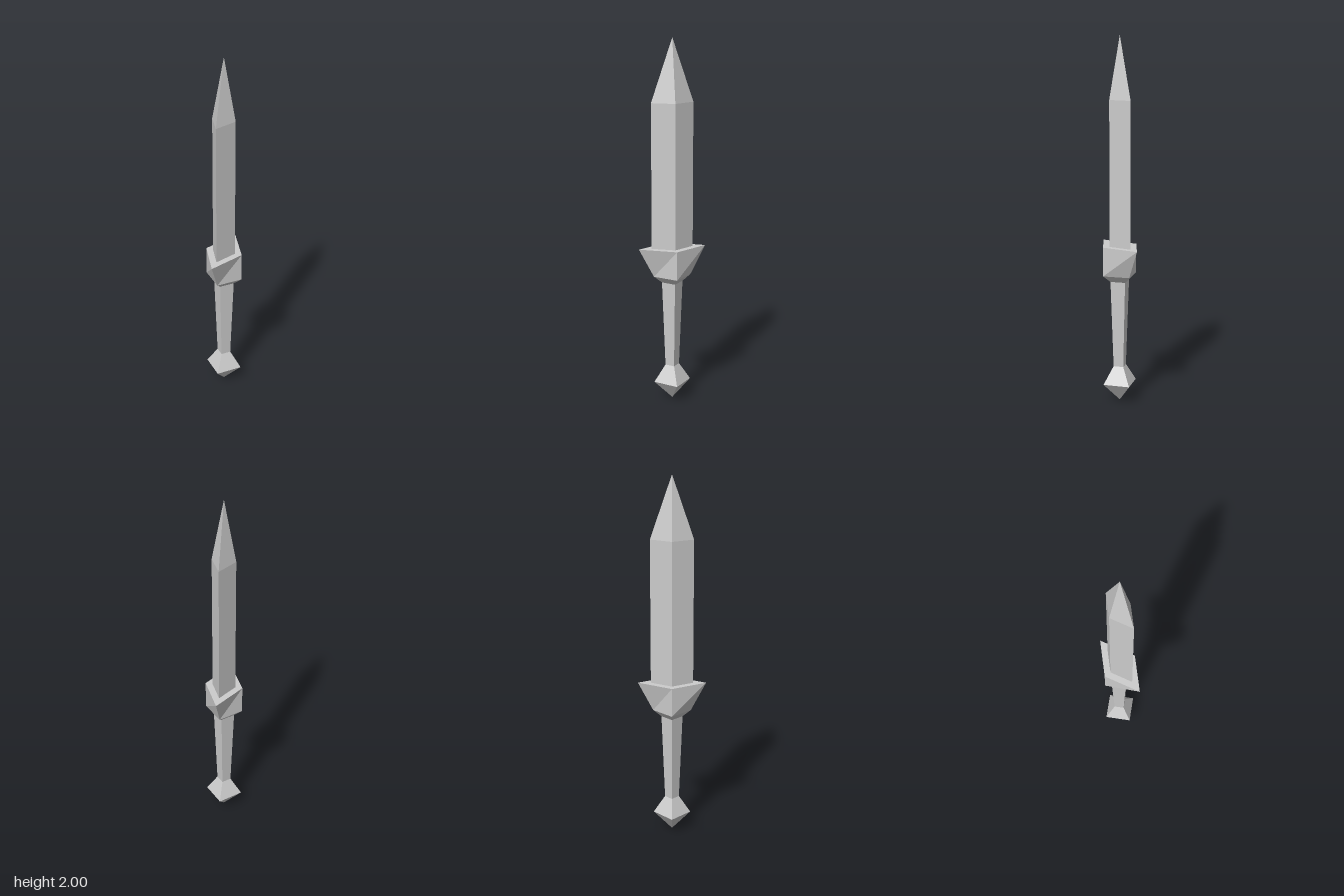
import * as THREE from 'three';

const TWIST = -18.7 * Math.PI / 180;

export function createModel() {
  const dagger = new THREE.Group();
  dagger.name = 'dagger';
  const material = new THREE.MeshStandardMaterial({ color: 0xcccccc, flatShading: true });

  // Four-sided section between two heights; r = corner radius along x,
  // k = how much longer the z diagonal is than the x diagonal
  function section(name, y0, r0, k0, y1, r1, k1, open = true) {
    const h = y1 - y0;
    const geo = new THREE.CylinderGeometry(r1, r0, h, 4, 1, open);
    const p = geo.attributes.position;
    for (let i = 0; i < p.count; i++) {
      p.setZ(i, p.getZ(i) * (p.getY(i) > 0 ? k1 : k0));
    }
    geo.rotateY(TWIST);
    geo.translate(0, (y0 + y1) / 2, 0);
    geo.computeVertexNormals();
    const mesh = new THREE.Mesh(geo, material);
    mesh.name = name;
    dagger.add(mesh);
  }

  // Pommel: pointed base and waist
  section('pommelPoint', 0, 0, 1, 0.103, 0.103, 1);
  section('pommelNeck', 0.103, 0.103, 1, 0.2, 0.039, 1);

  // Grip widening upward
  section('grip', 0.2, 0.039, 1, 0.682, 0.058, 1);

  // Guard: collar, then a block flaring along the blade's width
  section('guardCollar', 0.682, 0.058, 1, 0.718, 0.103, 1);
  section('guard', 0.718, 0.103, 1, 0.877, 0.103, 1.8, false);

  // Blade: straight diamond section and tapering tip
  section('blade', 0.87, 0.0635, 1.81, 1.664, 0.0635, 1.81);
  section('bladeTip', 1.664, 0.0635, 1.81, 2, 0, 1.81);

  return dagger;
}
